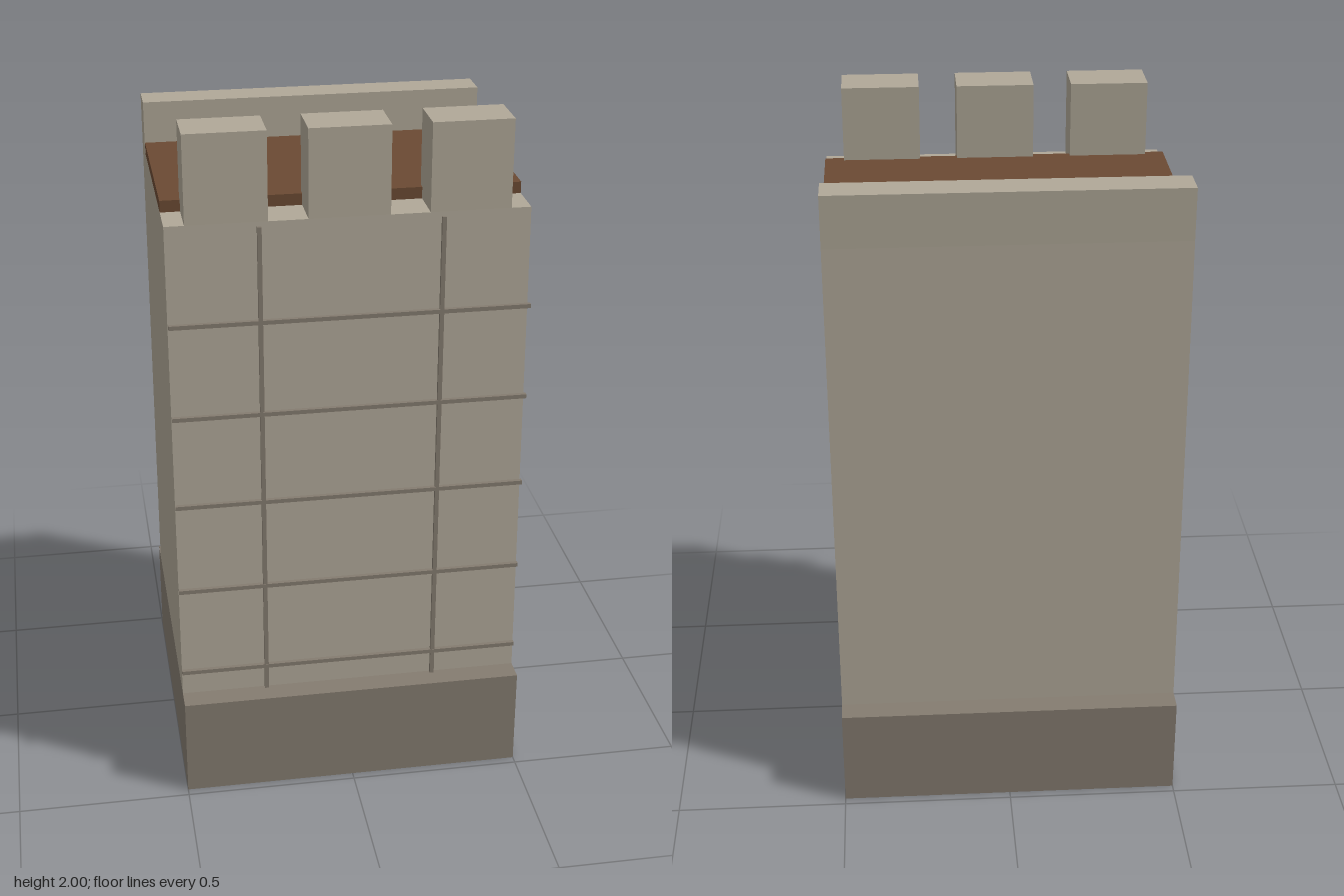
import * as THREE from 'three';

const mat = (name, color) => {
  const m = new THREE.MeshStandardMaterial({ color });
  m.name = name;
  return m;
};

export function createModel() {
  const wallStone = mat('wall stone', 0xb0a898);
  const darkStone = mat('dark stone', 0x857c70);
  const wood = mat('wood', 0x6b4a33);
  const tower = new THREE.Group();
  tower.name = 'tower';

  // Box given by its lower and upper limits on each axis
  const block = (name, material, [x0, x1], [y0, y1], [z0, z1]) => {
    const mesh = new THREE.Mesh(new THREE.BoxGeometry(x1 - x0, y1 - y0, z1 - z0), material);
    mesh.position.set((x0 + x1) / 2, (y0 + y1) / 2, (z0 + z1) / 2);
    mesh.name = name;
    tower.add(mesh);
    return mesh;
  };
  const full = [-0.5, 0.5];

  block('plinth', darkStone, full, [0, 0.3], [-0.475, 0.475]);

  // Wall body, narrowing in depth towards the top
  const body = block('wallBody', wallStone, full, [0.3, 1.75], [-0.408, 0.408]);
  const pos = body.geometry.attributes.position;
  for (let i = 0; i < pos.count; i++) {
    if (pos.getY(i) > 0) pos.setZ(i, Math.sign(pos.getZ(i)) * 0.375);
  }
  body.geometry.computeVertexNormals();

  // Walkway and parapets
  block('walkway', wood, full, [1.75, 1.783], [-0.262, 0.26]);
  block('rearParapet', wallStone, full, [1.75, 1.9], [-0.375, -0.277]);
  for (const x of [-0.333, 0, 0.333]) {
    block('merlon', wallStone, [x - 0.112, x + 0.112], [1.75, 2], [0.24, 0.375]);
  }

  // Raised joint lines on the front
  for (let i = 0; i < 5; i++) {
    const y = 0.377 + i * 0.275;
    block('horizontalJoint', darkStone, full, [y - 0.006, y + 0.006], [0.408, 0.42]);
  }
  for (const x of [-0.25, 0.25]) {
    block('verticalJoint', darkStone, [x - 0.006, x + 0.006], [0.3, 1.75], [0.409, 0.419]);
  }

  return tower;
}
